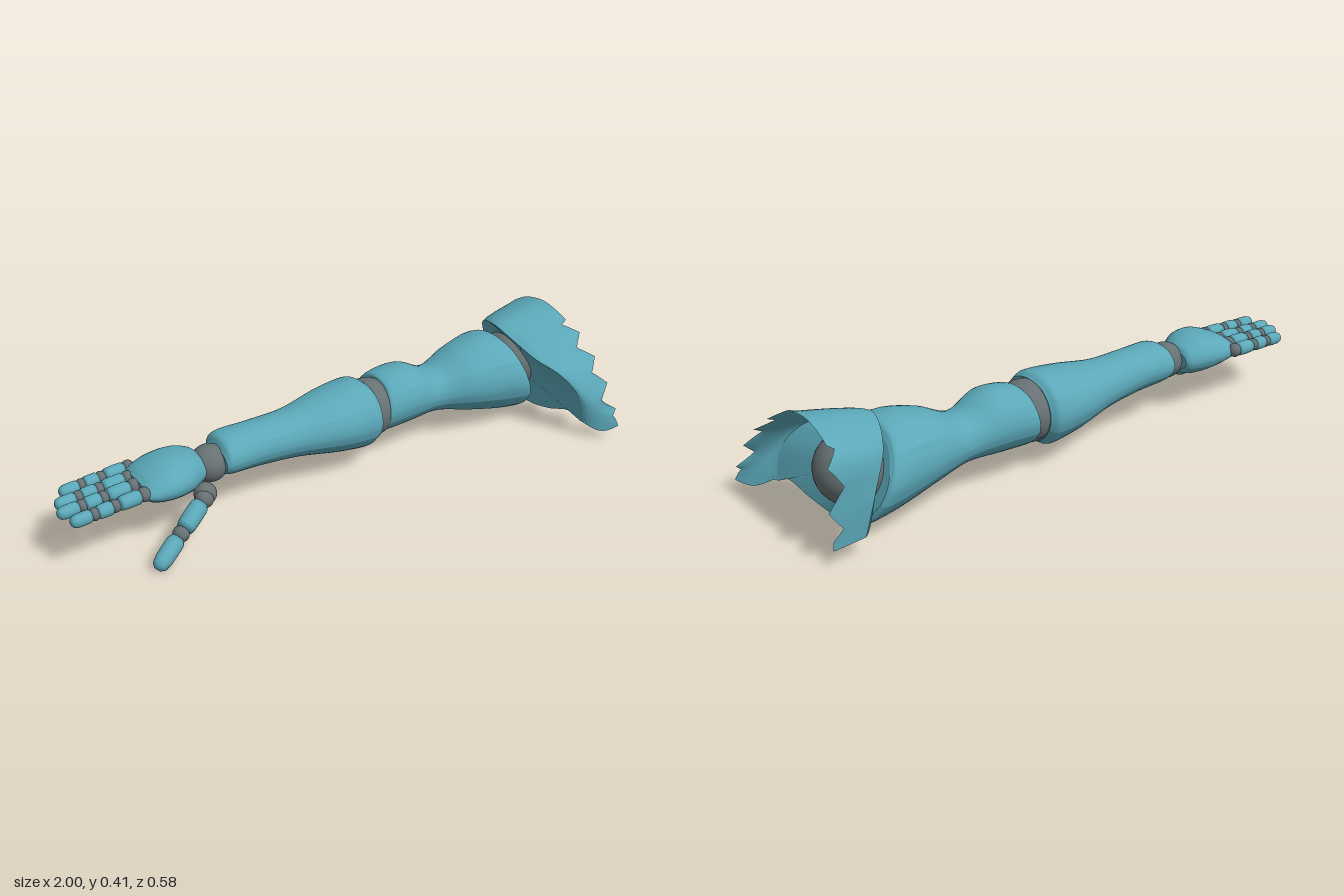
import * as THREE from 'three';

const teal = new THREE.MeshStandardMaterial({ color: 0x5ba8b9, side: THREE.DoubleSide });
teal.name = 'teal shell';
const grey = new THREE.MeshStandardMaterial({ color: 0x677173 });
grey.name = 'grey joint';

const V = (x, y, z) => new THREE.Vector3(x, y, z);

function add(parent, name, geometry, material, pos) {
  const m = new THREE.Mesh(geometry, material);
  m.name = name;
  if (pos) m.position.set(...pos);
  parent.add(m);
  return m;
}

function grid(nu, nv, fn, flip = false) {
  const pos = [], idx = [];
  for (let i = 0; i <= nu; i++) for (let j = 0; j <= nv; j++) pos.push(...fn(i / nu, j / nv));
  for (let i = 0; i < nu; i++) for (let j = 0; j < nv; j++) {
    const a = i * (nv + 1) + j, b = a + nv + 1;
    if (flip) idx.push(a, a + 1, b, b, a + 1, b + 1);
    else idx.push(a, b, a + 1, b, b + 1, a + 1);
  }
  const g = new THREE.BufferGeometry();
  g.setAttribute('position', new THREE.Float32BufferAttribute(pos, 3));
  g.setIndex(idx);
  g.computeVertexNormals();
  return g;
}

// Cross-section panels of a limb; they meet in lengthwise creases.
const panels = {
  Front: [[0.92, -0.42], [1, -0.1], [0.97, 0.25], [0.85, 0.55]],
  Top: [[0.85, 0.55], [0.55, 0.86], [0, 1], [-0.55, 0.86], [-0.85, 0.55]],
  Back: [[-0.85, 0.55], [-0.97, 0.25], [-1, -0.1], [-0.92, -0.42]],
  Bottom: [[-0.92, -0.42], [-0.7, -0.74], [-0.42, -0.96], [0, -1], [0.42, -0.96], [0.7, -0.74], [0.92, -0.42]],
};
for (const k in panels) panels[k] = new THREE.SplineCurve(panels[k].map(p => new THREE.Vector2(...p)));

// Limb shell along x. Rows: [x, bottom, top, back, front, slant of the section].
function limb(parent, name, rows) {
  const g = new THREE.Group();
  g.name = name;
  parent.add(g);
  const A = new THREE.CatmullRomCurve3(rows.map(r => V(r[0], r[1], r[2])), false, 'catmullrom', 0.5);
  const B = new THREE.CatmullRomCurve3(rows.map(r => V(r[3], r[4], r[5] || 0)), false, 'catmullrom', 0.5);
  const at = (s, p, k = 1) => {
    const a = A.getPoint(s), b = B.getPoint(s);
    return [a.x + b.z * p.y * k, (a.y + a.z) / 2 + (a.z - a.y) / 2 * p.y * k,
      (b.x + b.y) / 2 + (b.y - b.x) / 2 * p.x * k];
  };
  for (const [label, panel] of Object.entries(panels)) {
    add(g, name + label, grid(48, 14, (s, t) => at(s, panel.getPoint(t))), teal);
    for (const end of [0, 1])
      add(g, name + 'EndCap', grid(1, 14, (k, t) => at(end, panel.getPoint(t), k), end === 1), teal);
  }
}

// Finger or thumb: teal phalanges with rounded ends and grey ball joints.
function digit(parent, name, from, to, r, cuts) {
  const g = new THREE.Group();
  g.name = name;
  parent.add(g);
  const dir = to.clone().sub(from), len = dir.length();
  g.position.copy(from);
  g.quaternion.setFromUnitVectors(V(0, 1, 0), dir.normalize());
  for (let i = 0; i + 1 < cuts.length; i++) {
    const a = cuts[i] * len, b = cuts[i + 1] * len, L = b - a, tip = i === cuts.length - 2;
    const joint = add(g, name + 'Joint', new THREE.SphereGeometry(r * (i ? 0.88 : 1), 16, 12), grey, [0, a, 0]);
    joint.scale.y = 0.9;
    const s = 1 - i * 0.05;
    const prof = [[0, 0.13], [0.78, 0.13], [0.98, 0.24], [1, 0.5], [0.96, 0.75]]
      .concat(tip ? [[0.8, 0.9], [0.45, 0.98], [0, 1]] : [[0.84, 0.87], [0, 0.87]]);
    add(g, name + 'Segment', new THREE.LatheGeometry(
      prof.map(p => new THREE.Vector2(p[0] * r * s, a + p[1] * L)), 16), teal);
  }
}

// Shoulder mantle: a wall with a hole for the ball, and a torn cover flaring from the wall's rim.
function mantle(parent) {
  const rim = [V(0.87, 0.06, -0.272), V(0.835, 0.2, -0.282), V(0.785, 0.315, -0.255),
    V(0.735, 0.365, -0.13), V(0.745, 0.335, -0.03), V(0.775, 0.29, 0.06), V(0.82, 0.25, 0.14),
    V(0.87, 0.17, 0.195), V(0.895, 0.06, 0.2)];
  const hem = [V(0.885, 0.082, 0.14), V(0.87, 0.056, 0.05), V(0.86, 0.042, -0.05), V(0.865, 0.05, -0.2)];
  const inner = new THREE.CatmullRomCurve3(rim);
  const outer = new THREE.CatmullRomCurve3([V(0.985, 0.06, -0.28), V(0.975, 0.2, -0.288), V(0.965, 0.345, -0.275),
    V(0.955, 0.41, -0.13), V(0.955, 0.38, 0.01), V(0.96, 0.315, 0.1), V(0.965, 0.24, 0.19),
    V(0.97, 0.14, 0.25), V(0.99, 0.055, 0.29)]);
  const N = 70;
  add(parent, 'mantleCover', grid(14, N, (s, t) => {
    const a = inner.getPoint(t), b = outer.getPoint(t), e = Math.pow(s, 0.7), k = Math.round(t * N);
    const torn = (t > 0.5 && t < 0.95) || (t < 0.28 && t > 0.03);
    const jag = torn ? (Math.abs(k % 8 - 4) / 4 - 0.6) * 0.05 * s ** 5 : 0;
    const drop = t === 1 ? -0.025 * Math.sin(s * Math.PI) : 0;
    return [a.x + (b.x - a.x) * s + jag, a.y + (b.y - a.y) * e + drop, a.z + (b.z - a.z) * e];
  }), teal);

  const outline = new THREE.CatmullRomCurve3([...rim, ...hem], true);
  add(parent, 'mantleWall', grid(8, 72, (s, t) => {
    const p = outline.getPoint(t), angle = Math.atan2(p.y - 0.211, p.z + 0.126);
    const y = 0.211 + 0.1 * Math.sin(angle), z = -0.126 + 0.1 * Math.cos(angle);
    return V(0.817 - 0.35 * (y - 0.211), y, z).lerp(p, s).toArray();
  }), teal);
}

export function createModel() {
  const arm = new THREE.Group();
  arm.name = 'arm';

  // Ball joints
  for (const [name, r, p] of [['shoulderBall', 0.113, [0.82, 0.211, -0.126]],
    ['elbowBall', 0.105, [0.168, 0.2, -0.138]], ['wristBall', 0.064, [-0.468, 0.2, -0.132]]])
    add(arm, name, new THREE.SphereGeometry(r, 32, 24), grey, p);

  limb(arm, 'upperArm', [
    [0.195, 0.13, 0.285, -0.235, -0.06, 0.015],
    [0.21, 0.11, 0.31, -0.255, -0.035, 0.015],
    [0.32, 0.112, 0.32, -0.25, -0.03, 0.01],
    [0.44, 0.115, 0.275, -0.23, -0.043, 0],
    [0.56, 0.087, 0.318, -0.255, 0.005, -0.01],
    [0.68, 0.054, 0.343, -0.275, 0.03, -0.03],
    [0.765, 0.04, 0.338, -0.28, 0.035, -0.05],
    [0.785, 0.055, 0.318, -0.265, 0.02, -0.05]]);

  limb(arm, 'forearm', [
    [-0.44, 0.165, 0.25, -0.205, -0.06],
    [-0.41, 0.15, 0.283, -0.23, -0.05],
    [-0.29, 0.14, 0.287, -0.222, -0.055],
    [-0.15, 0.125, 0.287, -0.232, -0.045],
    [0, 0.097, 0.31, -0.265, -0.013],
    [0.115, 0.08, 0.322, -0.268, -0.008],
    [0.15, 0.095, 0.305, -0.245, -0.015]]);

  limb(arm, 'palm', [
    [-0.73, 0.175, 0.23, -0.225, -0.05],
    [-0.7, 0.155, 0.25, -0.245, -0.035],
    [-0.64, 0.143, 0.272, -0.253, -0.025],
    [-0.57, 0.14, 0.275, -0.245, -0.04],
    [-0.515, 0.15, 0.255, -0.225, -0.075],
    [-0.498, 0.17, 0.235, -0.21, -0.09]]);

  // Fingers, from the little finger to the index
  [[-0.245, -0.705, -0.945], [-0.187, -0.735, -0.985], [-0.135, -0.74, -1], [-0.071, -0.735, -0.985]]
    .forEach(([z, x0, x1], i) => digit(arm, 'finger' + (i + 1),
      V(x0, 0.209, z), V(x1, 0.197, z), 0.025, [0, 0.4, 0.68, 1]));

  // Thumb
  add(arm, 'thumbBall', new THREE.SphereGeometry(0.038, 24, 16), grey, [-0.535, 0.152, -0.045]);
  digit(arm, 'thumb', V(-0.55, 0.148, -0.025), V(-0.775, 0.015, 0.062), 0.032, [0, 0.5, 1]);

  mantle(arm);
  return arm;
}
